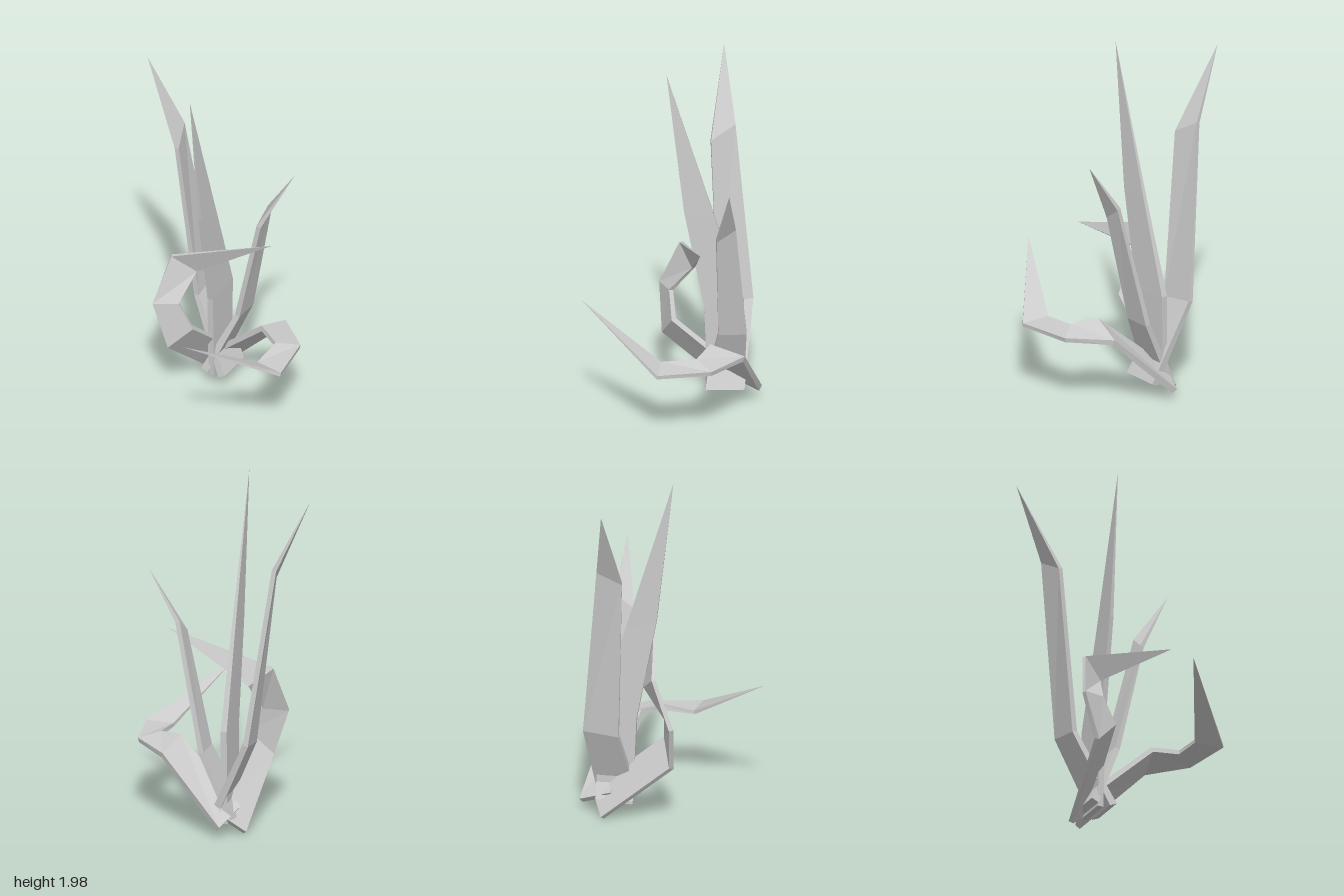
import * as THREE from 'three';

const material = new THREE.MeshStandardMaterial({ color: 0xcccccc, flatShading: true });

// A flat leaf of rectangular section: each row is [edge A, edge B, thickness], ending in a point.
function blade(name, rows, tip) {
  const V = (p) => new THREE.Vector3(...p);
  const mid = rows.map(([a, b]) => V(a).add(V(b)).multiplyScalar(0.5));
  mid.push(V(tip));
  const rings = rows.map(([pa, pb, thick], i) => {
    const a = V(pa), b = V(pb);
    const ahead = mid[i + 1].clone().sub(mid[i]).normalize();
    const along = i ? mid[i].clone().sub(mid[i - 1]).normalize().add(ahead) : ahead;
    const n = b.clone().sub(a).cross(along).setLength(thick / 2);
    return [a.clone().add(n), b.clone().add(n), b.clone().sub(n), a.clone().sub(n)];
  });
  const pos = [];
  const tri = (...pts) => pts.forEach((p) => pos.push(p.x, p.y, p.z));
  const end = V(tip);
  rings.forEach((r, i) => {
    const next = rings[i + 1];
    for (let k = 0; k < 4; k++) {
      const m = (k + 1) % 4;
      if (next) {
        tri(r[k], r[m], next[m]);
        tri(r[k], next[m], next[k]);
      } else tri(r[k], r[m], end);
    }
  });
  // cut end at the root
  const r = rings[0];
  tri(r[0], r[3], r[2]);
  tri(r[0], r[2], r[1]);
  const geo = new THREE.BufferGeometry();
  geo.setAttribute('position', new THREE.Float32BufferAttribute(pos, 3));
  geo.computeVertexNormals();
  const mesh = new THREE.Mesh(geo, material);
  mesh.name = name;
  return mesh;
}

export function createModel() {
  const group = new THREE.Group();
  group.name = 'grassTuft';
  group.add(
    // upright leaves
    blade('tallRightLeaf', [
      [[0.0, 0.09, -0.4], [0.0, 0.09, -0.185], 0.045],
      [[-0.21, 0.55, -0.455], [-0.2, 0.52, -0.26], 0.03],
      [[-0.345, 1.55, -0.36], [-0.305, 1.47, -0.225], 0.025],
    ], [-0.535, 1.95, -0.305]),
    blade('tallCentreLeaf', [
      [[-0.072, 0.07, -0.4], [-0.072, 0.07, -0.2], 0.035],
      [[-0.068, 0.6, -0.4], [-0.068, 0.58, -0.18], 0.035],
      [[-0.07, 1.1, -0.245], [-0.07, 1.16, -0.07], 0.022],
    ], [-0.08, 1.99, 0.025]),
    blade('leftLeaf', [
      [[-0.11, 0.095, -0.4], [-0.11, 0.095, -0.19], 0.045],
      [[0.06, 0.47, -0.41], [0.06, 0.47, -0.255], 0.03],
      [[0.215, 1.19, -0.345], [0.203, 1.11, -0.24], 0.025],
    ], [0.395, 1.475, -0.305]),
    // arching leaves
    blade('curledRightLeaf', [
      [[-0.175, 0.015, -0.355], [-0.04, 0.13, -0.425], 0.03],
      [[-0.215, 0.35, 0.035], [-0.085, 0.485, -0.015], 0.03],
      [[-0.3, 0.61, 0.047], [-0.165, 0.625, -0.003], 0.025],
      [[-0.245, 0.88, -0.06], [-0.12, 0.785, -0.125], 0.022],
    ], [0.34, 1.085, -0.147]),
    blade('droopingLeftLeaf', [
      [[-0.065, 0.065, -0.49], [-0.13, 0.14, -0.31], 0.035],
      [[0.29, 0.425, -0.388], [0.245, 0.48, -0.2], 0.032],
      [[0.485, 0.435, -0.205], [0.375, 0.46, -0.125], 0.027],
      [[0.533, 0.44, 0.095], [0.37, 0.445, 0.07], 0.022],
    ], [0.145, 0.725, 0.495]),
  );
  return group;
}
